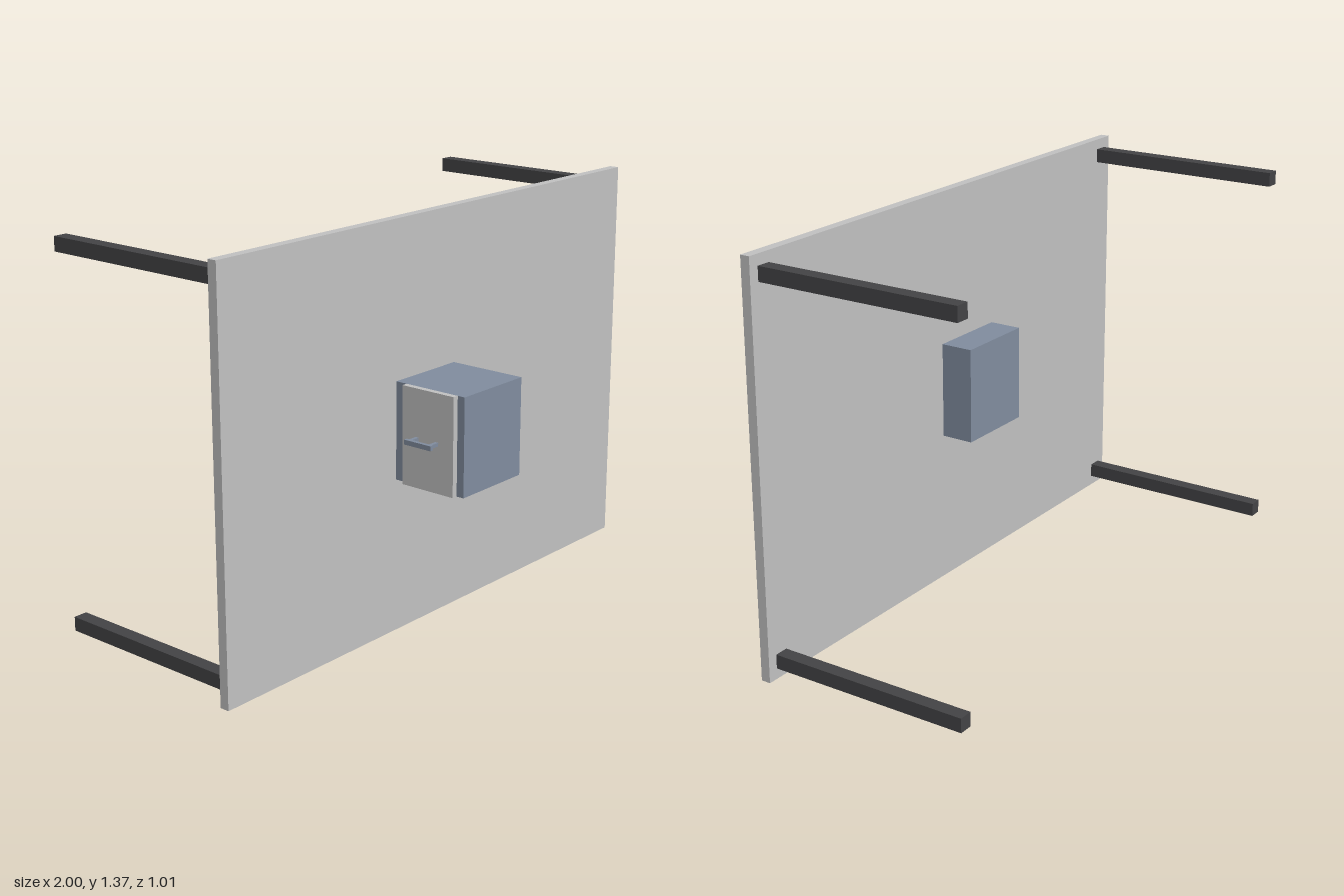
import * as THREE from 'three';

export function createModel() {
  const model = new THREE.Group();
  const paleGrey = new THREE.MeshStandardMaterial({ color: 0xc0c0c0 });
  paleGrey.name = 'pale grey';
  const slateBlue = new THREE.MeshStandardMaterial({ color: 0x808c9e });
  slateBlue.name = 'slate blue';
  const charcoal = new THREE.MeshStandardMaterial({ color: 0x434345 });
  charcoal.name = 'charcoal';

  // Box given by its extents along each axis
  const block = (name, material, [x0, x1], [y0, y1], [z0, z1], parent = model) => {
    const mesh = new THREE.Mesh(new THREE.BoxGeometry(x1 - x0, y1 - y0, z1 - z0), material);
    mesh.position.set((x0 + x1) / 2, (y0 + y1) / 2, (z0 + z1) / 2);
    mesh.name = name;
    parent.add(mesh);
  };

  // Upright board
  block('board', paleGrey, [-1, 1], [0, 1.37], [0.197, 0.23]);

  // Four legs reaching back from the corners
  for (const x of [-0.941, 0.941]) {
    for (const y of [0.06, 1.31]) {
      block('leg', charcoal, [x - 0.024, x + 0.024], [y - 0.024, y + 0.024], [-0.503, 0.197]);
    }
  }

  // Cabinet passing through the board
  block('cabinet', slateBlue, [-0.226, 0.066], [0.522, 0.85], [0.083, 0.503]);

  // Door panel on the right side
  block('door', paleGrey, [-0.246, -0.226], [0.522, 0.85], [0.272, 0.476]);

  // Door handle: grip bar on two posts
  const handle = new THREE.Group();
  handle.name = 'handle';
  block('grip', slateBlue, [-0.295, -0.282], [0.677, 0.693], [0.32, 0.425], handle);
  for (const z of [0.332, 0.411]) {
    block('handlePost', slateBlue, [-0.282, -0.246], [0.679, 0.691], [z - 0.006, z + 0.006], handle);
  }
  model.add(handle);

  return model;
}
